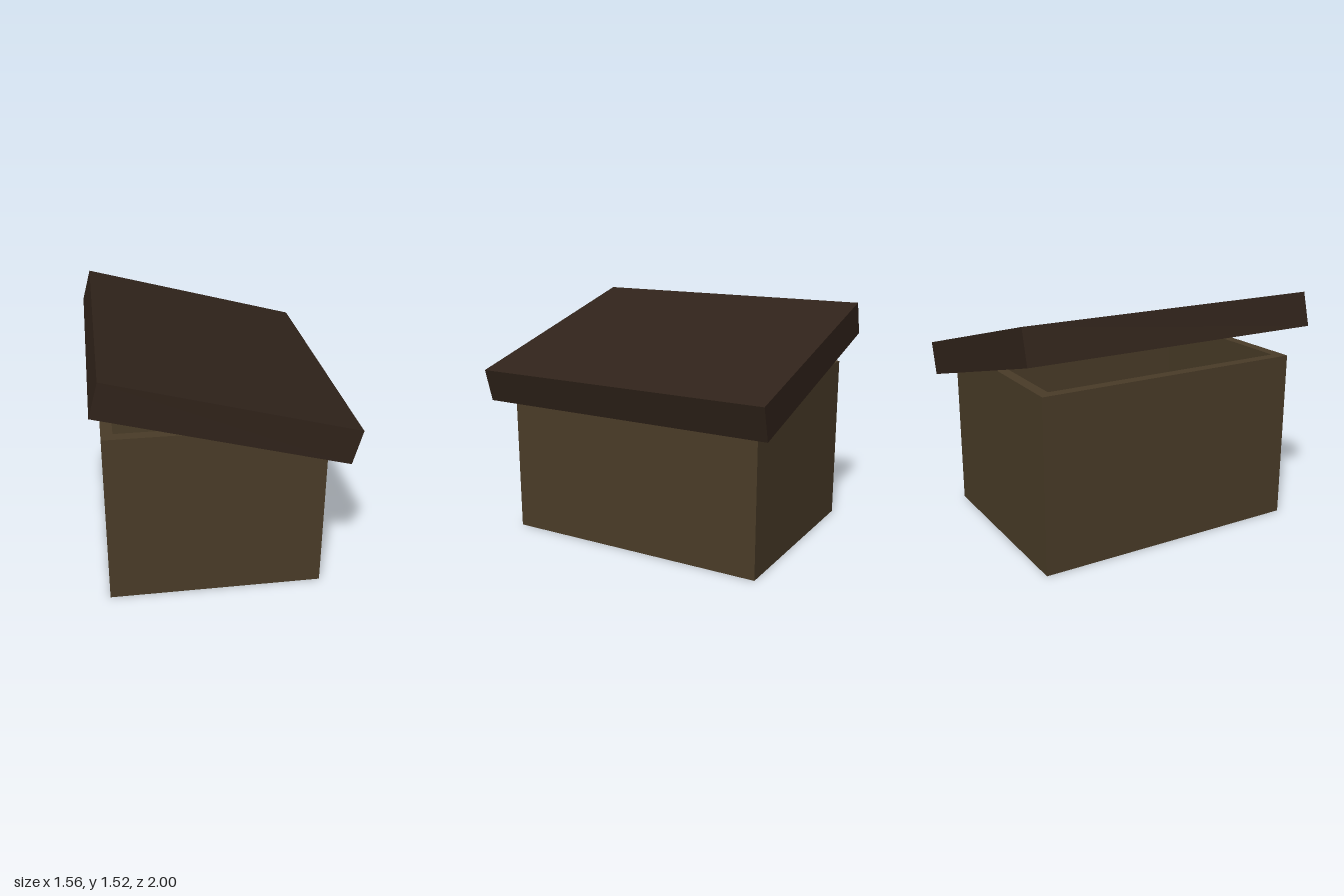
import * as THREE from 'three';

const WALL = 0.07;

// Rectangle path centred on the origin
function rect(path, w, d) {
  path.moveTo(-w / 2, -d / 2);
  path.lineTo(w / 2, -d / 2);
  path.lineTo(w / 2, d / 2);
  path.lineTo(-w / 2, d / 2);
  path.closePath();
  return path;
}

// Hollow tray: four walls from y = 0 to h, closed by a thin panel at y = 0
function tray(name, panelName, w, h, d, panel, color) {
  const material = new THREE.MeshStandardMaterial({ color });
  const group = new THREE.Group();
  group.name = name;

  const shape = rect(new THREE.Shape(), w, d);
  shape.holes.push(rect(new THREE.Path(), w - 2 * WALL, d - 2 * WALL));
  const wallGeometry = new THREE.ExtrudeGeometry(shape, { depth: h, bevelEnabled: false });
  wallGeometry.rotateX(-Math.PI / 2);
  const walls = new THREE.Mesh(wallGeometry, material);
  walls.name = name + 'Walls';

  const base = new THREE.Mesh(
    new THREE.BoxGeometry(w - 2 * WALL, panel, d - 2 * WALL), material);
  base.position.y = panel / 2;
  base.name = panelName;

  group.add(walls, base);
  return group;
}

export function createModel() {
  const model = new THREE.Group();
  model.name = 'boxWithLid';

  // Open box, standing slightly to one side
  const box = tray('box', 'boxFloor', 1.333, 1.111, 1.778, 0.02, 0x4a3c28);
  box.position.x = -0.055;

  // Lid: a shallow tray turned upside down
  const lidHeight = 0.222;
  const lid = tray('lid', 'lidTop', 1.556, lidHeight, 2, 0.02, 0x30231a);
  lid.rotation.x = Math.PI;
  lid.position.y = lidHeight / 2;

  // Tilted so it leans down on the left side of the box
  const tilt = new THREE.Group();
  tilt.name = 'tiltedLid';
  tilt.add(lid);
  tilt.rotation.z = -Math.PI / 12;
  tilt.position.y = 1.213;

  model.add(box, tilt);
  return model;
}
